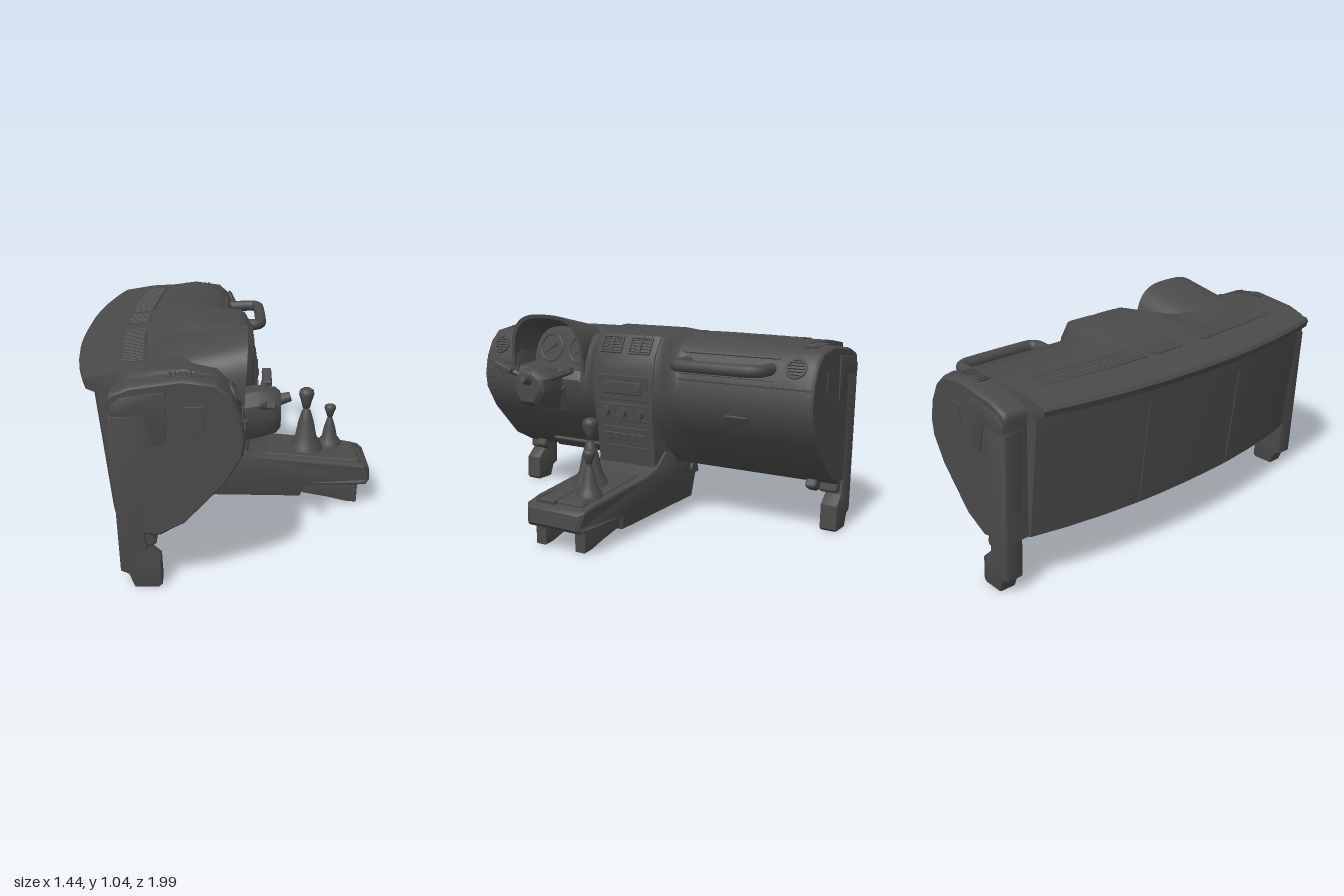
import * as THREE from 'three';
import { toCreasedNormals } from 'three/addons/utils/BufferGeometryUtils.js';
import { RoundedBoxGeometry } from 'three/addons/geometries/RoundedBoxGeometry.js';

const plastic = new THREE.MeshStandardMaterial({ color: 0x4a4a4a, side: THREE.DoubleSide });
plastic.name = 'charcoal plastic';
const { smoothstep, lerp } = THREE.MathUtils;

export function createModel() {
  const root = new THREE.Group();
  root.name = 'dashboard';

  const add = (name, geo, parent = root) => {
    const m = new THREE.Mesh(geo, plastic);
    m.name = name;
    parent.add(m);
    return m;
  };
  const box = (name, p, s, tilt = 0, parent = root) => {
    const r = Math.min(...s) * 0.25;
    const m = add(name, new RoundedBoxGeometry(s[0], s[1], s[2], 1, r), parent);
    m.position.set(...p);
    m.rotation.z = tilt;
    return m;
  };
  const tube = (name, pts, r) =>
    add(name, new THREE.TubeGeometry(new THREE.CatmullRomCurve3(pts.map(p => new THREE.Vector3(...p)), false, 'catmullrom', 0.2), 40, r, 10));
  const anchor = (name, x, y, z, tilt) => {
    const g = new THREE.Group();
    g.name = name;
    g.position.set(x, y, z);
    g.rotation.z = tilt;
    root.add(g);
    return g;
  };
  // side profile extruded across z, then reshaped by a rule for z
  const profile = (name, pts, width, bevel, rule = () => 1) => {
    const shape = new THREE.Shape(pts.map(p => new THREE.Vector2(...p)));
    const g = new THREE.ExtrudeGeometry(shape, { depth: width - 2 * bevel, bevelSize: bevel, bevelThickness: bevel, bevelOffset: -bevel, bevelSegments: 2 });
    g.translate(0, 0, bevel - width / 2);
    const p = g.attributes.position;
    for (let i = 0; i < p.count; i++) p.setZ(i, p.getZ(i) * rule(p.getX(i), p.getY(i)));
    return add(name, toCreasedNormals(g, 0.6));
  };
  // skin through a list of rings; capped ones get flat ends
  const loft = (name, rings, capped) => {
    const n = rings[0].length, pos = rings.flat(2), idx = [];
    for (let i = 0; i < rings.length - 1; i++)
      for (let j = 0; j < (capped ? n : n - 1); j++) {
        const k = (j + 1) % n, a = i * n + j, b = i * n + k;
        idx.push(a, b, b + n, a, b + n, a + n);
      }
    if (capped) [0, rings.length - 1].forEach((r, e) => {
      const c = pos.length / 3;
      pos.push(-0.25, 0.6, rings[r][0][2]);
      for (let j = 0; j < n; j++) {
        const a = r * n + j, b = r * n + (j + 1) % n;
        e ? idx.push(c, a, b) : idx.push(c, b, a);
      }
    });
    const g = new THREE.BufferGeometry();
    g.setAttribute('position', new THREE.Float32BufferAttribute(pos, 3));
    g.setIndex(idx);
    return add(name, toCreasedNormals(g, 0.65));
  };

  // main body: cross-sections along z, with a centre bulge, an instrument recess and stepped ends
  const face = [[-0.2, 0.31], [-0.02, 0.5], [0.05, 0.62], [0.06, 0.7], [0.04, 0.8], [0, 0.88], [-0.06, 0.935]];
  const bulgeFace = [[-0.1, 0.31], [0.06, 0.5], [0.118, 0.62], [0.125, 0.7], [0.122, 0.8], [0.105, 0.885], [0.055, 0.972]];
  const recess = [...face.slice(0, 3), [0.06, 0.71], [0.03, 0.755], [-0.1, 0.77], [-0.14, 0.94]];
  const section = z => {
    const a = Math.abs(z), end = a > 0.872, notch = z > 0.325 && z < 0.755;
    const xb = -0.72 + 0.1 * Math.pow(a / 0.87, 2.2);
    const b = 1 - smoothstep(a, 0.17, 0.28);
    const front = notch ? recess : face.map(([x, y], i) => [lerp(x, bulgeFace[i][0], b), lerp(y, bulgeFace[i][1], b)]);
    const top = [-0.2, end ? 0.955 : 0.965 + 0.034 * (1 - smoothstep(a, 0.18, 0.32))];
    const back = end ? [[-0.42, 0.925], [-0.5, 0.895], [-0.51, 0.88], [-0.51, 0.86], [-0.508, 0.84], [-0.505, 0.8]]
      : [[-0.45, 0.952], [xb + 0.01, 0.925], [xb, 0.91], [xb + 0.01, 0.88], [xb + 0.055, 0.865], [xb + 0.06, 0.8]];
    const k = a > 0.988 ? 0.965 : a > 0.98 ? 0.988 : 1;
    return [[end ? -0.49 : xb + 0.12, 0.275], [-0.32, 0.25], ...front, top, ...back]
      .map(([x, y]) => [-0.25 + (x + 0.25) * k, 0.6 + (y - 0.6) * k, z]);
  };
  const half = [0.17, 0.19, 0.21, 0.23, 0.25, 0.27, 0.29, 0.32, 0.7, 0.87, 0.875, 0.968, 0.983, 0.99];
  const stops = [...half.map(z => -z), -0.5, 0, ...half, 0.33, 0.54, 0.75, 0.76].sort((a, b) => a - b);
  loft('dashBody', stops.map(section), true);

  // instrument hood: outer skin, lip and inner skin
  const arch = (xLow, xTop, halfWidth, top) => Array.from({ length: 25 }, (_, i) => {
    const t = Math.PI * i / 24, c = Math.cos(t), u = Math.pow(Math.sin(t), 0.6);
    return [xLow + (xTop - xLow) * u, 0.75 + (top - 0.75) * u, 0.54 + halfWidth * Math.sign(c) * Math.pow(Math.abs(c), 0.65)];
  });
  loft('instrumentHood', [arch(-0.35, -0.35, 0.2, 0.95), arch(-0.15, -0.15, 0.245, 1), arch(0.055, 0.075, 0.245, 1.05),
    arch(0.058, 0.07, 0.225, 1.03), arch(-0.13, -0.14, 0.21, 0.97)], false);

  // gauges
  const cluster = anchor('instrumentCluster', -0.115, 0.85, 0.54, 0.23);
  [-0.1, 0.1].forEach(z => {
    const ring = add('gaugeRing', new THREE.TorusGeometry(0.075, 0.006, 6, 28), cluster);
    ring.rotation.y = Math.PI / 2;
    ring.position.z = z;
    box('gaugeNeedle', [0.012, -0.01, z], [0.008, 0.008, 0.09], 0, cluster).rotation.x = 0.6;
    box('needleHub', [0.012, 0.015, z - 0.03], [0.015, 0.022, 0.022], 0, cluster);
  });

  // lower centre stack, narrowing downward and spreading toward the back
  profile('centreStack', [[-0.35, 0.2], [0.085, 0.27], [0.1, 0.4], [0.124, 0.55], [0.13, 0.7], [0.127, 0.8], [0.11, 0.885],
    [0.06, 0.97], [-0.1, 0.98]], 0.36, 0.012,
    (x, y) => 0.95 + 0.06 * smoothstep(y, 0.3, 0.85) + (y > 0.35 ? 0.45 : 0.15) * Math.max(0, 0.08 - x));

  // slatted square vents at the top of the stack
  [-0.085, 0.085].forEach(z => {
    const v = anchor('centreVent', 0.087, 0.922, z, 0.53);
    [-1, 1].forEach(s => {
      box('ventFrame', [0, s * 0.043, 0], [0.02, 0.008, 0.125], 0, v);
      box('ventFrame', [0, 0, s * 0.06], [0.02, 0.088, 0.008], 0, v);
    });
    for (let i = -2; i <= 2; i++) box('ventSlat', [0, i * 0.016, 0], [0.016, 0.006, 0.115], 0, v);
    box('ventDivider', [0.002, 0, 0], [0.02, 0.085, 0.012], 0, v);
  });

  // radio, heater controls and switches
  box('radioFrame', [0.122, 0.71, 0], [0.02, 0.13, 0.3], -0.04);
  box('radio', [0.126, 0.71, 0], [0.025, 0.065, 0.23]);
  [-0.09, 0.09].forEach(z => box('radioButton', [0.138, 0.71, z], [0.012, 0.03, 0.03]));
  box('heaterPanel', [0.118, 0.585, 0], [0.02, 0.09, 0.29], -0.08);
  [-0.1, 0, 0.1].forEach(z => {
    const k = add('heaterKnob', new THREE.CylinderGeometry(0.024, 0.028, 0.03, 16));
    k.rotation.z = -Math.PI / 2;
    k.position.set(0.133, 0.585, z);
  });
  [0.5, 0.4].forEach(y => box('slotEdge', [0.09 + (y - 0.4) * 0.18, y, 0], [0.025, 0.012, 0.27]));
  for (let i = -2; i <= 2; i++) box('switch', [0.104, 0.455, i * 0.052], [0.02, 0.04, 0.042], -0.15);

  // windscreen vents on the top
  [[-0.75, -0.19], [-0.13, 0.04], [0.18, 0.72]].forEach(([z0, z1]) => {
    const mid = z => -0.46 + 0.07 * z * z;
    for (let z = z0; z <= z1 + 0.001; z += 0.0243) box('windscreenVentSlat', [mid(z), 0.953, z], [0.1, 0.012, 0.012], 0.09);
    [-0.052, 0.052].forEach(d => tube('windscreenVentRim', [z0, (z0 + z1) / 2, z1].map(z => [mid(z) + d, 0.952 + d * 0.09, z]), 0.006));
  });

  // parts repeated at both ends
  [-1, 1].forEach(s => {
    for (let i = -3; i <= 3; i++) box('sideWindowVentSlat', [-0.19 + i * 0.022, 0.951, s * 0.9], [0.01, 0.014, 0.065]);
    const v = anchor('roundVent', 0.018, 0.865, s * 0.89, 0.46);
    const ring = add('ventRing', new THREE.TorusGeometry(0.046, 0.008, 8, 24), v);
    ring.rotation.y = Math.PI / 2;
    for (let i = -2; i <= 2; i++) box('ventSlat', [0, i * 0.015, 0], [0.014, 0.006, 0.08 - Math.abs(i) * 0.013], 0, v);

    // support leg with its foot
    const leg = profile('supportLeg', [[-0.51, 0.8], [-0.39, 0.8], [-0.37, 0.25], [-0.36, 0.19], [-0.305, 0.14], [-0.3, 0.02],
      [-0.315, 0.006], [-0.42, 0.006], [-0.445, 0.07], [-0.48, 0.085]], 0.09, 0.01);
    leg.position.z = s * 0.948;
    box('legHinge', [-0.31, 0.25, s * 0.86], [0.07, 0.08, 0.06], 0.5);
    box('legBracket', [-0.36, 0.235, s * 0.93], [0.07, 0.08, 0.1], 0.2);
    const plate = profile('endPlate', [[-0.5, 0.84], [-0.46, 0.88], [-0.27, 0.905], [-0.27, 0.68], [-0.33, 0.67], [-0.36, 0.8], [-0.5, 0.8]], 0.01, 0.003);
    plate.position.z = s * 0.991;
    box('endSocket', [-0.15, 0.785, s * 0.989], [0.075, 0.11, 0.01], 0.06);
  });

  // passenger grab handle, shelf panel and glove box
  tube('grabHandle', [[0, 0.85, -0.31], [0.13, 0.855, -0.31], [0.165, 0.855, -0.345], [0.168, 0.855, -0.53], [0.165, 0.855, -0.72],
    [0.13, 0.855, -0.76], [0, 0.85, -0.76]], 0.03);
  [0.9, 0.8].forEach(y => box('handlePanelEdge', [0.034 - (y - 0.8) * 0.52, y, -0.53], [0.016, 0.012, 0.52], 0.46));
  box('gloveBoxSeam', [0.045, 0.77, -0.63], [0.012, 0.01, 0.7]);
  box('gloveBoxLatch', [0.03, 0.585, -0.6], [0.02, 0.07, 0.115], -0.53);

  // driver switches and lower hatch
  [0.87, 0.94].forEach(z => box('driverSwitch', [0.053, 0.71, z], [0.018, 0.06, 0.045]));
  box('fuseHatch', [-0.2, 0.3, 0.52], [0.02, 0.07, 0.32], -0.8);
  box('driverSeam', [0.045, 0.77, 0.88], [0.012, 0.01, 0.2]);

  // steering column shroud, collar, ignition and stalks
  box('columnCollar', [0.03, 0.6, 0.55], [0.04, 0.16, 0.26], -0.45);
  const outline = [[-0.06, -0.11], [0.06, -0.11], [0.115, -0.02], [0.11, 0.06], [0.05, 0.11], [-0.05, 0.11], [-0.11, 0.06], [-0.115, -0.02], [-0.06, -0.11]];
  const ringAt = (x, k, y0) => outline.map(([z, y]) => [x, y0 + y * k, 0.545 - z * k]);
  loft('columnShroud', [ringAt(-0.05, 1, 0.635), ringAt(0.12, 1, 0.665), ringAt(0.205, 0.86, 0.672), ringAt(0.226, 0.68, 0.675), ringAt(0.228, 0, 0.68)], false);
  const lock = add('ignitionLock', new THREE.CylinderGeometry(0.022, 0.03, 0.08, 14));
  lock.rotation.z = -1.3;
  lock.position.set(0.235, 0.72, 0.535);
  [-1, 1].forEach(s => {
    tube('columnStalk', [[0.13, 0.71, 0.545 + s * 0.07], [0.155, 0.74, 0.545 + s * 0.15], [0.175, 0.772, 0.545 + s * 0.24]], 0.016);
    box('stalkGrip', [0.172, 0.763, 0.545 + s * 0.2], [0.045, 0.034, 0.12]).rotation.x = -s * 0.32;
  });

  // centre console, tapering to rounded rear corners
  profile('console', [[-0.33, 0.27], [-0.3, 0.07], [0.36, 0.055], [0.38, 0.125], [0.66, 0.122], [0.7, 0.12], [0.72, 0.14], [0.715, 0.21],
    [0.69, 0.228], [0.6, 0.245], [0.18, 0.285], [0.09, 0.31], [0, 0.38]], 0.37, 0.012,
    (x, y) => (1 - 0.15 * Math.max(0, x - 0.1) - 4 * Math.max(0, x - 0.685)) * (y < 0.1 ? 0.9 : 1));
  box('consoleTop', [0.42, 0.254, 0], [0.48, 0.03, 0.27], -0.095);
  [-1, 1].forEach(s => {
    box('trayEdge', [0.6, 0.246, 0.07 + s * 0.05], [0.15, 0.02, 0.01], -0.09);
    box('trayEdge', [0.6 + s * 0.075, 0.246 - s * 0.007, 0.07], [0.01, 0.02, 0.11], -0.09);
    const foot = profile('consoleFoot', [[0.37, 0.14], [0.66, 0.14], [0.655, 0.015], [0.6, 0.02], [0.5, 0.045], [0.37, 0.07]], 0.06, 0.006);
    foot.position.z = s * 0.115;
    const bolt = add('consoleBolt', new THREE.CylinderGeometry(0.03, 0.03, 0.02, 16));
    bolt.rotation.x = Math.PI / 2;
    bolt.position.set(-0.27, 0.24, s * 0.19);
  });
  box('coinTray', [0.6, 0.247, -0.08], [0.08, 0.02, 0.09], -0.09);

  // gear and transfer levers
  const lever = (name, x, y, z, base, h, knobTop, knobR) => {
    const g = anchor(name, x, y, z, 0);
    const lathe = (n, pts) => add(n, new THREE.LatheGeometry(pts.map(p => new THREE.Vector2(...p)), 20), g);
    lathe('leverBoot', [[base, 0], [base * 0.88, 0.03], [base * 0.62, h * 0.35], [base * 0.46, h * 0.7], [base * 0.26, h], [0.012, h + 0.01], [0.012, h + 0.03]]);
    const b = h + 0.015, k = knobTop - b;
    lathe('leverKnob', [[0, b], [knobR * 0.45, b], [knobR * 0.7, b + k * 0.35], [knobR, b + k * 0.7], [knobR * 0.9, b + k * 0.88], [knobR * 0.5, b + k * 0.98], [0, b + k]]);
  };
  lever('gearLever', 0.395, 0.265, 0.01, 0.09, 0.21, 0.335, 0.04);
  lever('transferLever', 0.53, 0.25, -0.08, 0.065, 0.145, 0.23, 0.031);

  // bulkhead seams on the back
  [-0.3, 0.3].forEach(z => box('bulkheadSeam', [-0.62, 0.54, z], [0.012, 0.5, 0.008], 0.114));

  return root;
}
